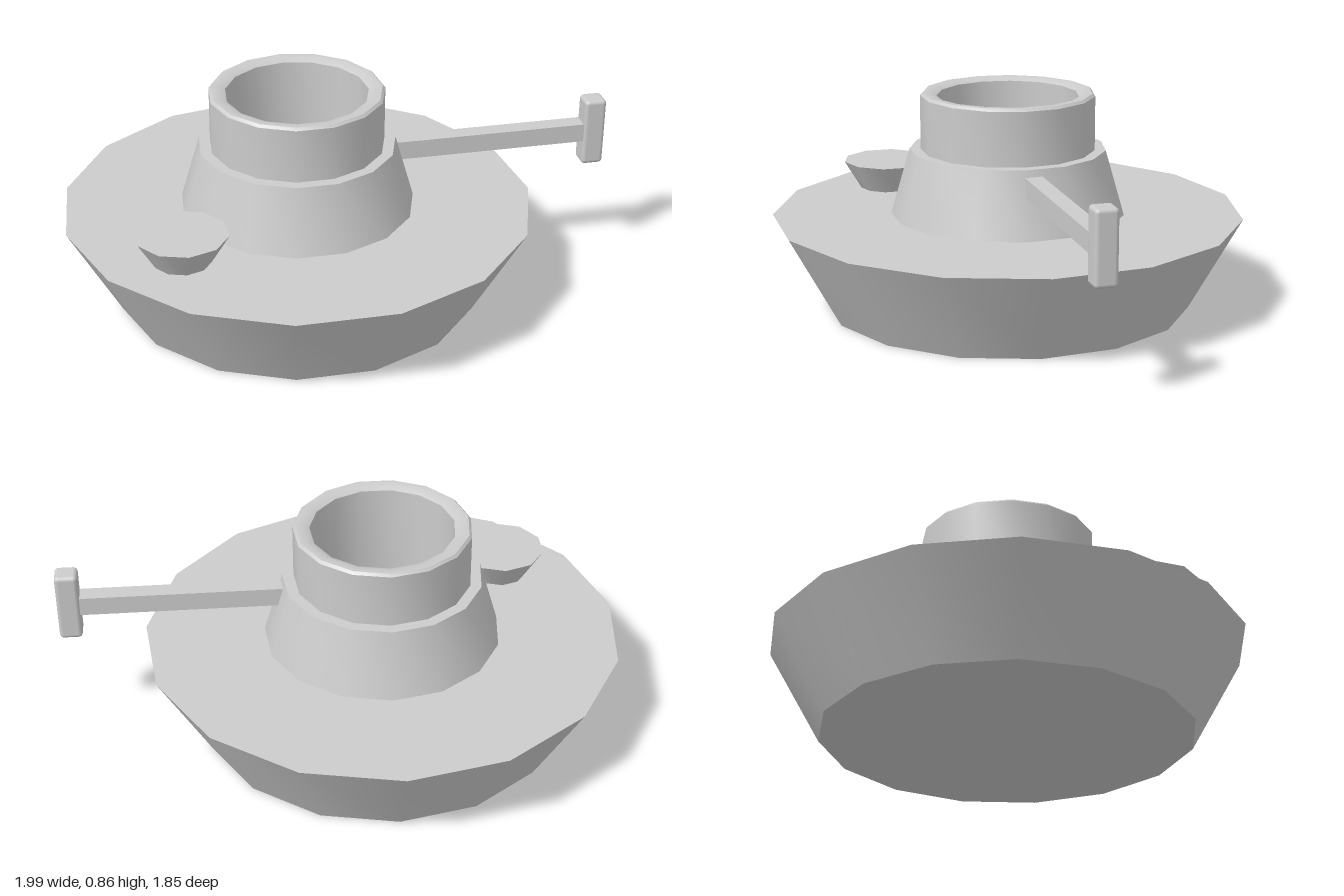
import * as THREE from 'three';
import { toCreasedNormals } from 'three/addons/utils/BufferGeometryUtils.js';
import { RoundedBoxGeometry } from 'three/addons/geometries/RoundedBoxGeometry.js';

const rad = THREE.MathUtils.degToRad;

export function createModel() {
  const model = new THREE.Group();
  const material = new THREE.MeshStandardMaterial({ color: 0xcccccc });

  const add = (parent, name, geometry, x = 0, y = 0, z = 0) => {
    const mesh = new THREE.Mesh(geometry, material);
    mesh.name = name;
    mesh.position.set(x, y, z);
    parent.add(mesh);
    return mesh;
  };

  // Faceted turned part: profile runs bottom to top as [radius, y]
  const turned = (profile, sides, startDeg) => toCreasedNormals(
    new THREE.LatheGeometry(profile.map(([r, y]) => new THREE.Vector2(r, y)), sides, rad(startDeg)),
    rad(38)
  );

  // Round, 15-sided parts share one slightly off-centre axis
  const core = new THREE.Group();
  core.name = 'body';
  core.position.set(-0.076, 0, -0.006);
  model.add(core);

  // Wide flared base, closed above and below
  add(core, 'base', turned([[0, 0], [0.727, 0], [0.933, 0.37], [0, 0.37]], 15, 93.7));

  // Tapered shoulder with a flat ledge
  add(core, 'shoulder', turned([[0.464, 0.37], [0.389, 0.63], [0.3, 0.63]], 15, 93.7));

  // Hollow collar with a bevelled rim; the bore reaches down to the base
  add(core, 'collar', turned([
    [0.345, 0.63], [0.345, 0.845], [0.335, 0.855], [0.308, 0.855],
    [0.28, 0.842], [0.28, 0.37],
  ], 15, 93.7));

  // Small flared cup standing on the base
  add(model, 'cup', turned([[0, 0.37], [0.112, 0.37], [0.181, 0.485], [0, 0.485]], 10, -2),
    -0.298, 0, 0.595);

  // Handle arm with an upright grip at its end
  const handle = new THREE.Group();
  handle.name = 'handle';
  handle.position.set(0.937, 0.565, -0.67);
  handle.rotation.y = rad(33.7);
  model.add(handle);
  add(handle, 'arm', new THREE.BoxGeometry(0.83, 0.075, 0.07), -0.415);
  add(handle, 'grip', new RoundedBoxGeometry(0.088, 0.28, 0.088, 2, 0.016));

  return model;
}
